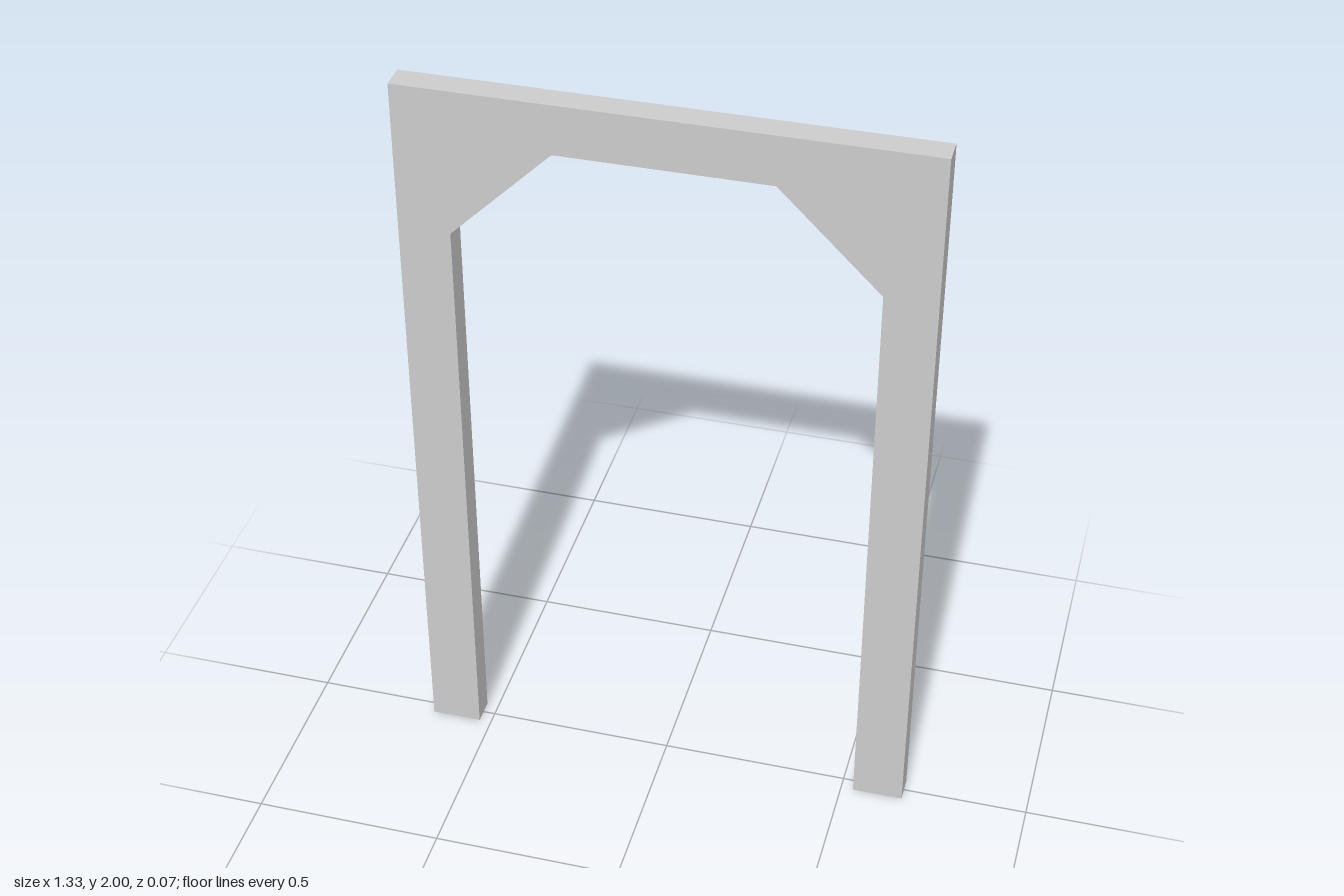
import * as THREE from 'three';

const DEPTH = 0.07;

// Right half of the outline, from the inner foot round to the inner top corner
const HALF = [
  [0.533, 0], [0.667, 0], [0.667, 2],
];
const HALF_INNER = [
  [0.27, 1.867], [0.533, 1.607],
];

export function createModel() {
  const group = new THREE.Group();
  group.name = 'archway';

  // Mirror each half to close the outline: outside over the top, back under the arch
  const mirror = (pts) => pts.map(([x, y]) => [-x, y]).reverse();
  const outline = [...HALF, ...mirror(HALF), ...mirror(HALF_INNER), ...HALF_INNER];
  const shape = new THREE.Shape(outline.map(([x, y]) => new THREE.Vector2(x, y)));

  // Flat slab frame with chamfered inner corners
  const geometry = new THREE.ExtrudeGeometry(shape, { depth: DEPTH, bevelEnabled: false });
  geometry.translate(0, 0, -DEPTH / 2);

  const frame = new THREE.Mesh(
    geometry,
    new THREE.MeshStandardMaterial({ color: 0xcccccc, flatShading: true })
  );
  frame.name = 'doorFrame';
  group.add(frame);
  return group;
}
